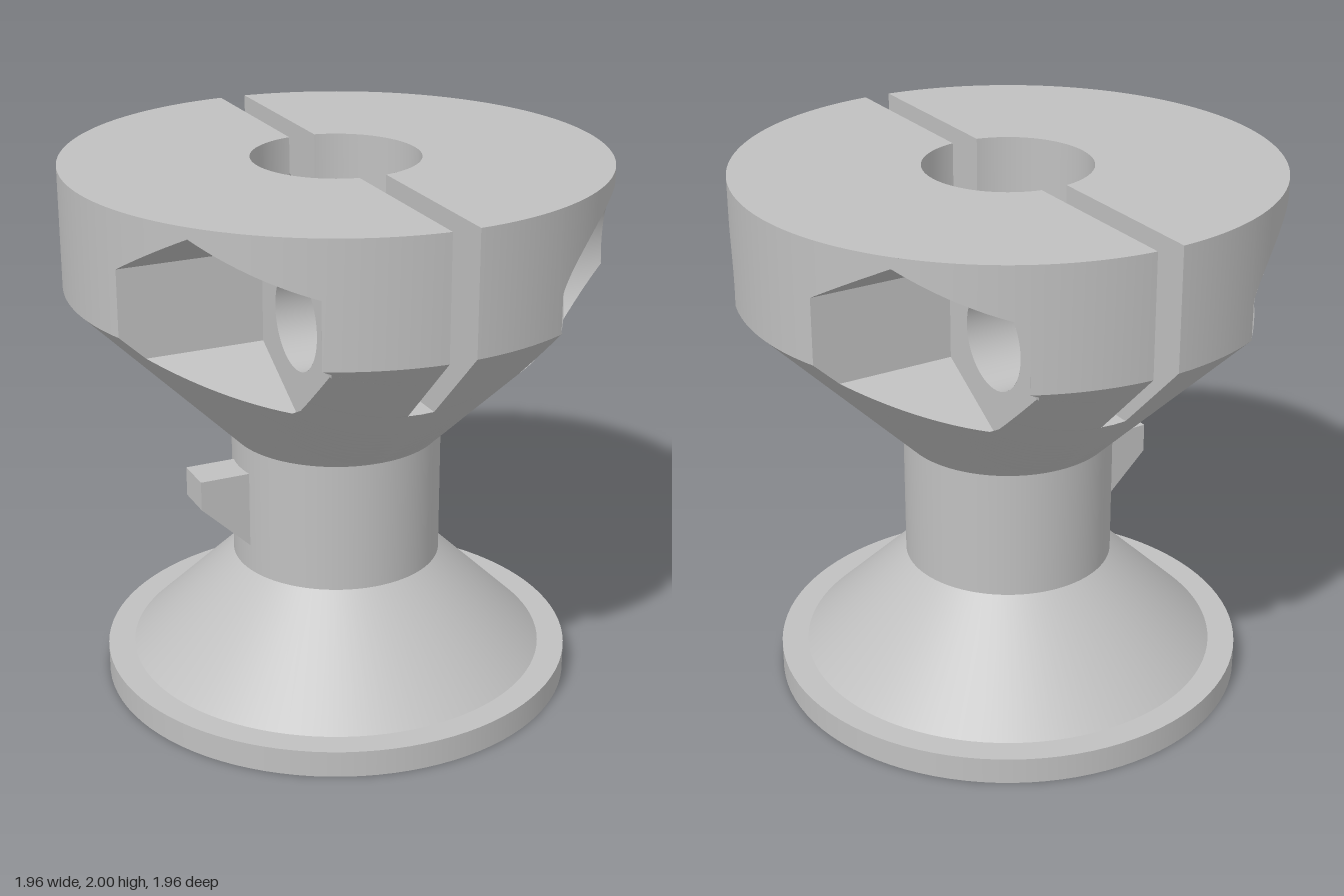
import * as THREE from 'three';

const BORE = 0.305, NECK = 0.39, RIM = 0.98;        // radii
const NECK_TOP = 0.97, CONE_TOP = 1.56, TOP = 2;    // heights
const SLIT = 0.05, SLIT_Y = 1.27;                   // half width and floor of the slit
const AXIS_Y = 1.635, AXIS_Z = 0.59, BOLT = 0.17;   // bolt hole axis and radius
const FLOOR = 0.415, CIRC = 0.305, HEX = 0.325;     // pocket floor (x), pocket sizes
const HEX_W = HEX * Math.sqrt(3) / 2;
const APEX = CONE_TOP - RIM;                        // cone: y = APEX + radius
const leg = (h, a) => Math.sqrt(Math.max(0, h * h - a * a));
const lerp = THREE.MathUtils.lerp;

const metal = new THREE.MeshStandardMaterial({ color: 0xc0c0c0, side: THREE.DoubleSide });
metal.name = 'plain grey';

function add(parent, name, geometry) {
  const mesh = new THREE.Mesh(geometry, metal);
  mesh.name = name;
  parent.add(mesh);
  return mesh;
}

// Smooth patch through rows of [x, y, z] points
function patch(rows) {
  const n = rows[0].length, index = [];
  for (let i = 0; i < rows.length - 1; i++) {
    for (let j = 0; j < n - 1; j++) {
      const a = i * n + j, c = a + n;
      index.push(a, a + 1, c, a + 1, c + 1, c);
    }
  }
  const g = new THREE.BufferGeometry();
  g.setAttribute('position', new THREE.Float32BufferAttribute(rows.flat(2), 3));
  g.setIndex(index);
  g.computeVertexNormals();
  return g;
}

// Lower and upper edge of the pocket at depth z, or null where there is none
function pocketSpan(z) {
  if (leg(RIM, z) <= FLOOR) return null;
  const d = Math.abs(Math.abs(z) - AXIS_Z);
  if (z > 0) return d < CIRC ? [AXIS_Y - leg(CIRC, d), AXIS_Y + leg(CIRC, d)] : null;
  const h = HEX - d / Math.sqrt(3);
  return d < HEX_W ? [AXIS_Y - h, AXIS_Y + h] : null;
}

// Outer cone and rim of one half, as columns of constant z with the pockets left open
function outerSkin(parent) {
  const zMax = leg(RIM, SLIT), zs = [];
  for (let i = 0; i <= 120; i++) {
    const s = Math.sin((i / 120 - 0.5) * Math.PI);
    zs.push(zMax * s, NECK * s, AXIS_Z + CIRC * s, -AXIS_Z + HEX_W * s);
  }
  const edges = [AXIS_Z - HEX_W, AXIS_Z + HEX_W, leg(RIM, FLOOR), leg(SLIT_Y - APEX, SLIT)];
  for (const e of edges) zs.push(e - 1e-4, e + 1e-4, -e - 1e-4, -e + 1e-4);
  zs.sort((a, b) => a - b);

  const cone = [], lower = [], upper = [];
  for (const z of zs) {
    const span = pocketSpan(z), rimX = leg(RIM, z);
    const start = Math.abs(z) > leg(SLIT_Y - APEX, SLIT) ? SLIT : leg(NECK, z);
    const end = span ? Math.min(rimX, Math.max(FLOOR, leg(span[0] - APEX, z))) : rimX;
    cone.push(Array.from({ length: 11 }, (_, i) => {
      const x = lerp(start, end, i / 10);
      return [x, APEX + Math.hypot(x, z), z];
    }));
    const lo = span ? Math.max(CONE_TOP, span[0]) : CONE_TOP;
    const hi = span ? span[1] : CONE_TOP;
    lower.push([[rimX, CONE_TOP, z], [rimX, lo, z]]);
    upper.push([[rimX, hi, z], [rimX, TOP, z]]);
  }
  add(parent, 'upperCone', patch(cone));
  add(parent, 'rimBelowPockets', patch(lower));
  add(parent, 'rim', patch(upper));
}

// Pocket walls run along x from the floor to the outer skin
function pocket(parent, name, sides) {
  const exit = (z, y) => Math.max(FLOOR, leg(Math.min(RIM, y - APEX), z));
  for (const side of sides) {
    add(parent, name + 'Wall', patch(side.map(([z, y]) => [[FLOOR, y, z], [exit(z, y), y, z]])));
  }
  // floor, trimmed where the cone cuts it, with the bolt hole
  const shape = new THREE.Shape(sides.flat().map(([z, y]) =>
    new THREE.Vector2(-z, Math.max(y, APEX + Math.hypot(FLOOR, z)))));
  const zc = sides[0][0][0] > 0 ? AXIS_Z : -AXIS_Z;
  shape.holes.push(new THREE.Path().absarc(-zc, AXIS_Y, BOLT, 0, Math.PI * 2));
  const g = new THREE.ShapeGeometry(shape, 32);
  g.rotateY(Math.PI / 2).translate(FLOOR, 0, 0);
  add(parent, name + 'Floor', g);

  const hole = new THREE.CylinderGeometry(BOLT, BOLT, FLOOR - SLIT, 48, 1, true);
  hole.rotateZ(Math.PI / 2).translate((FLOOR + SLIT) / 2, AXIS_Y, zc);
  add(parent, 'boltHole', hole);
}

function clampHalf() {
  const half = new THREE.Group();
  half.name = 'clampHalf';
  outerSkin(half);

  const circle = Array.from({ length: 97 }, (_, i) => {
    const a = -i / 96 * Math.PI * 2;
    return [AXIS_Z + CIRC * Math.cos(a), AXIS_Y + CIRC * Math.sin(a)];
  });
  pocket(half, 'roundPocket', [circle]);

  const corner = k => [-AXIS_Z + HEX * Math.sin(k * Math.PI / 3), AXIS_Y + HEX * Math.cos(k * Math.PI / 3)];
  const hex = [0, 1, 2, 3, 4, 5].map(k => Array.from({ length: 17 }, (_, i) => {
    const a = corner(k), b = corner(k + 1);
    return [lerp(a[0], b[0], i / 16), lerp(a[1], b[1], i / 16)];
  }));
  pocket(half, 'hexPocket', hex);

  // slit walls
  const inner = leg(BORE, SLIT), outer = leg(RIM, SLIT), low = leg(SLIT_Y - APEX, SLIT);
  for (const s of [1, -1]) {
    const wall = new THREE.Shape([[inner, SLIT_Y], [low, SLIT_Y], [outer, CONE_TOP], [outer, TOP], [inner, TOP]]
      .map(([z, y]) => new THREE.Vector2(s * z, y)));
    wall.holes.push(new THREE.Path().absarc(s * AXIS_Z, AXIS_Y, BOLT, 0, Math.PI * 2));
    const g = new THREE.ShapeGeometry(wall, 32);
    g.rotateY(-Math.PI / 2).translate(SLIT, 0, 0);
    add(half, 'slitWall', g);
  }

  // top face and bore
  const ao = Math.acos(SLIT / RIM), ai = Math.acos(SLIT / BORE);
  const top = new THREE.Shape();
  top.absarc(0, 0, RIM, -ao, ao, false);
  top.absarc(0, 0, BORE, ai, -ai, true);
  const tg = new THREE.ShapeGeometry(top, 64);
  tg.rotateX(-Math.PI / 2).translate(0, TOP, 0);
  add(half, 'topFace', tg);
  const bore = new THREE.CylinderGeometry(BORE, BORE, TOP - SLIT_Y, 48, 1, true, Math.PI / 2 - ai, 2 * ai);
  bore.translate(0, (TOP + SLIT_Y) / 2, 0);
  add(half, 'upperBore', bore);
  return half;
}

export function createModel() {
  const model = new THREE.Group();
  model.name = 'clampHub';

  // Foot and neck: one lathe per profile edge keeps the creases sharp
  const profile = [[BORE, SLIT_Y], [BORE, 0.42], [NECK, 0.42], [0.71, 0.1], [0.71, 0], [0.88, 0],
    [0.88, 0.1], [0.78, 0.1], [NECK, 0.48], [NECK, NECK_TOP]].map(p => new THREE.Vector2(...p));
  const names = ['lowerBore', 'boreStep', 'footHollow', 'footLip', 'footUnderside',
    'flangeEdge', 'flangeTop', 'footCone', 'neck'];
  names.forEach((name, i) => add(model, name, new THREE.LatheGeometry([profile[i], profile[i + 1]], 96)));

  // Two clamp halves, half a turn apart
  for (const turn of [0, Math.PI]) {
    const half = clampHalf();
    half.rotation.y = turn;
    model.add(half);
  }

  // Slit floor, front and back
  const z0 = leg(BORE, SLIT), z1 = leg(SLIT_Y - APEX, SLIT);
  for (const s of [1, -1]) {
    const g = new THREE.PlaneGeometry(2 * SLIT, z1 - z0);
    g.rotateX(-Math.PI / 2).translate(0, SLIT_Y, s * (z0 + z1) / 2);
    add(model, 'slitFloor', g);
  }

  // Locating lug on the neck
  const lug = new THREE.Shape([[-0.35, 0.87], [-0.57, 0.87], [-0.57, 0.76], [-0.35, 0.55]]
    .map(p => new THREE.Vector2(...p)));
  add(model, 'lug', new THREE.ExtrudeGeometry(lug, { depth: 0.15, bevelEnabled: false })).position.z = -0.075;
  return model;
}
